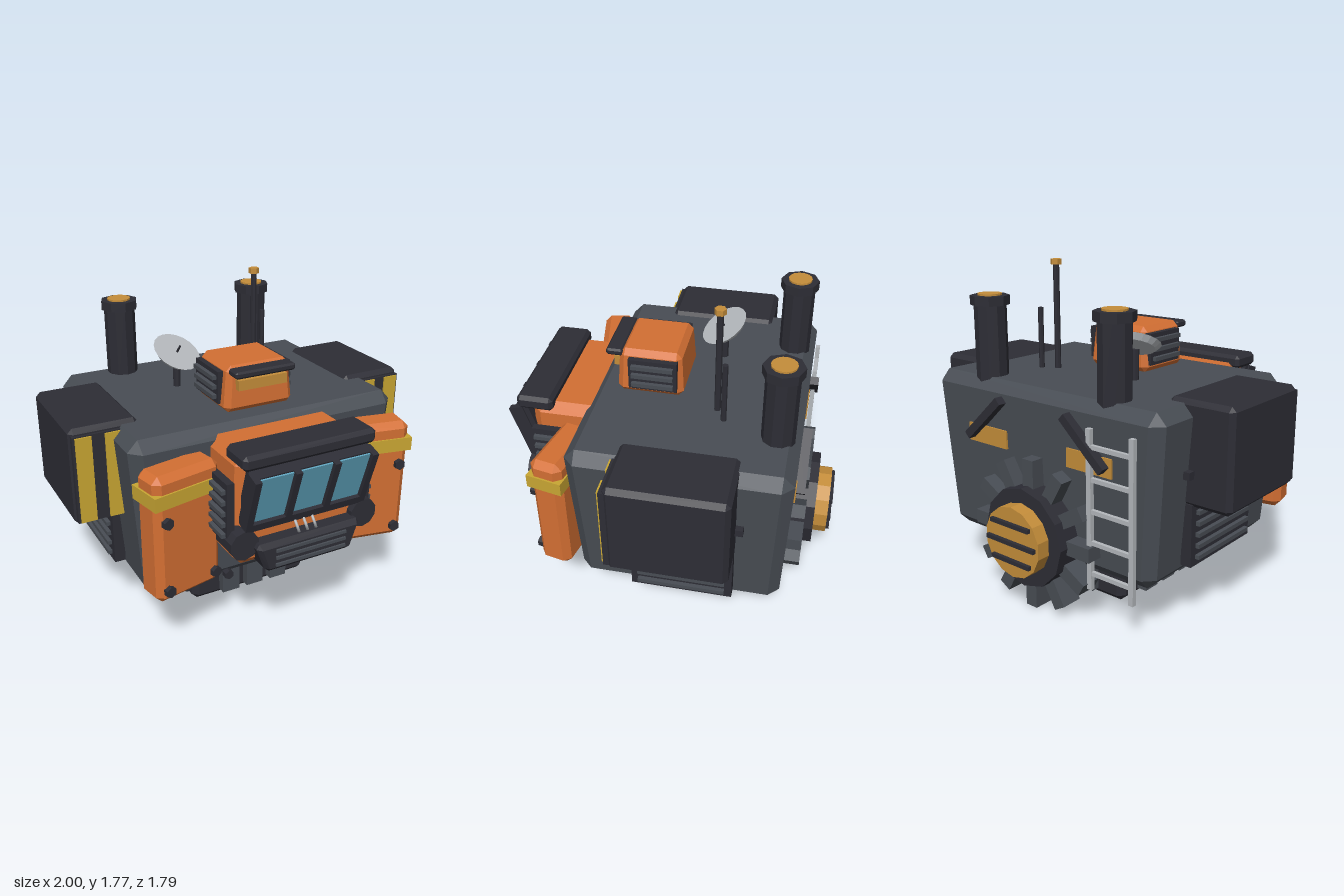
import * as THREE from 'three';
import { ConvexGeometry } from 'three/addons/geometries/ConvexGeometry.js';

function paint(name, color) {
  const m = new THREE.MeshStandardMaterial({ color });
  m.name = name;
  return m;
}

// Box with bevelled edges; the bottom is scaled by bx, bz and the top by tx, tz
function bevelBox(w, h, d, c, { bx = 1, bz = 1, tx = 1, tz = 1 } = {}) {
  const pts = [];
  for (const i of [-1, 1]) for (const j of [-1, 1]) for (const k of [-1, 1]) {
    for (const [a, b, e] of [[0, c, c], [c, 0, c], [c, c, 0]]) {
      const y = j * (h / 2 - b), t = y / h + 0.5;
      pts.push(new THREE.Vector3(
        i * (w / 2 - a) * (bx + (tx - bx) * t), y, k * (d / 2 - e) * (bz + (tz - bz) * t)));
    }
  }
  return new ConvexGeometry(pts);
}

export function createModel() {
  const root = new THREE.Group();
  const grey = paint('hull grey', 0x484d54);
  const dark = paint('dark metal', 0x2d2d35);
  const orange = paint('orange armour', 0xd36f33);
  const yellow = paint('yellow stripe', 0xc9a633);
  const gold = paint('amber', 0xc48d3a);
  const glass = paint('window blue', 0x5fa3bd);
  const steel = paint('light steel', 0xb4b8bc);

  function add(name, geo, mat, x, y, z, parent = root) {
    const m = new THREE.Mesh(geo, mat);
    m.name = name;
    m.position.set(x, y, z);
    parent.add(m);
    return m;
  }
  const box = (name, w, h, d, mat, x, y, z, parent) =>
    add(name, new THREE.BoxGeometry(w, h, d), mat, x, y, z, parent);
  // Faceted upright cylinder
  function cyl(name, r1, r2, h, n, mat, x, y, z, parent) {
    const g = new THREE.CylinderGeometry(r1, r2, h, n).toNonIndexed();
    g.computeVertexNormals();
    return add(name, g, mat, x, y, z, parent);
  }
  // Cylinder lying along z
  function disc(name, r, h, n, mat, x, y, z, parent) {
    const m = cyl(name, r, r, h, n, mat, x, y, z, parent);
    m.rotation.x = Math.PI / 2;
    return m;
  }
  function group(name, x, y, z, parent = root) {
    const g = new THREE.Group();
    g.name = name;
    g.position.set(x, y, z);
    parent.add(g);
    return g;
  }
  // Louvred plate facing sideways
  function vent(name, s, x, y, z, h, d, n, t = 0.04) {
    const g = group(name, s * x, y, z);
    box('ventPlate', t, h, d, dark, 0, 0, 0, g);
    for (let i = 0; i < n; i++) {
      box('ventSlat', 0.025, 0.022, d * 0.86, grey, s * (t / 2 + 0.01), ((i + 0.5) / n - 0.5) * h * 0.9, 0, g);
    }
  }

  // Hull
  add('hull', bevelBox(1.57, 0.91, 1.15, 0.06, { bx: 0.91, bz: 0.945 }), grey, 0, 0.718, -0.115);
  for (let i = -2; i <= 2; i++) disc('hullBolt', 0.027, 0.04, 6, dark, i * 0.25, 0.28, 0.425);

  // Undercarriage with pads on all four sides
  const base = group('undercarriage', 0, 0.132, -0.105);
  add('baseBlock', bevelBox(0.74, 0.245, 0.68, 0.035), dark, 0, 0, 0, base);
  for (let s = 0; s < 4; s++) {
    const side = group('padRow', 0, 0, 0, base);
    side.rotation.y = s * Math.PI / 2;
    const out = s % 2 ? 0.39 : 0.35;
    for (const x of [-0.155, 0, 0.155]) box('pad', 0.105, 0.17, 0.08, grey, x, 0.005, out, side);
  }

  // Rear wheel drive
  const wheel = group('rearWheel', 0, 0.41, 0);
  disc('wheelHub', 0.27, 0.25, 12, dark, 0, 0, -0.675, wheel);
  disc('wheelCap', 0.192, 0.09, 14, gold, 0, 0, -0.83, wheel);
  for (const [y, w] of [[0.1, 0.27], [0, 0.34], [-0.1, 0.27]]) {
    box('capBar', w, 0.022, 0.03, dark, 0, y, -0.88, wheel);
  }
  for (let i = 0; i < 12; i++) {
    const a = i * Math.PI / 6;
    const t = box('wheelTooth', 0.075, 0.17, 0.12, grey, Math.sin(a) * 0.325, Math.cos(a) * 0.325, -0.69, wheel);
    t.rotation.z = -a;
  }

  // Ladder
  const ladder = group('ladder', -0.515, 0.63, -0.705);
  for (const s of [-1, 1]) box('ladderRail', 0.028, 0.84, 0.025, steel, s * 0.132, 0, 0, ladder);
  for (let i = 0; i < 5; i++) box('ladderRung', 0.25, 0.022, 0.02, steel, 0, 0.33 - i * 0.165, 0, ladder);

  for (const s of [-1, 1]) {
    // Rear lamps under slanted hoods
    box('rearLamp', 0.29, 0.1, 0.03, gold, s * 0.36, 0.865, -0.675);
    const hood = box('rearHood', 0.34, 0.045, 0.07, dark, s * 0.35, 0.97, -0.7);
    hood.rotation.z = -s * 0.74;

    // Side pods with striped front plates
    add('sidePod', bevelBox(0.37, 0.535, 0.61, 0.025), dark, s * 0.815, 0.925, -0.115);
    box('podFront', 0.3, 0.48, 0.03, dark, s * 0.84, 0.92, 0.19);
    for (const x of [0.78, 0.935]) box('podStripe', 0.085, 0.47, 0.009, yellow, s * x, 0.92, 0.211);
    box('podLatch', 0.05, 0.04, 0.05, dark, s * 0.77, 0.83, -0.435);
    vent('hullVent', s, 0.755, 0.505, -0.147, 0.33, 0.54, 5, 0.06);

    // Angled armour panels
    const panel = group('armourPanel', s * 0.57, 0.72, 0.525);
    panel.rotation.y = -s * 0.2;
    add('panelBlock', bevelBox(0.39, 0.7, 0.18, 0.035), orange, 0, 0, 0, panel);
    box('panelBand', 0.41, 0.075, 0.198, yellow, 0, 0.225, 0, panel);
    for (const [x, y] of [[0.14, 0.11], [0.14, -0.275], [-0.145, -0.275], [-0.145, 0.11]]) {
      disc('panelBolt', 0.03, 0.03, 6, dark, s * x, y, 0.1, panel);
    }

    // Cab cheeks
    vent('cabVent', s, 0.4, 0.85, 0.65, 0.33, 0.19, 5);
    disc('cabJoint', 0.08, 0.16, 10, dark, s * 0.35, 0.69, 0.72);

    // Exhaust stacks
    const stack = group('exhaustStack', s * 0.43, 0, -0.57);
    cyl('stackPipe', 0.087, 0.087, 0.46, 10, dark, 0, 1.37, 0, stack);
    cyl('stackCollar', 0.105, 0.105, 0.05, 8, dark, 0, 1.575, 0, stack);
    cyl('stackGlow', 0.065, 0.065, 0.02, 14, gold, 0, 1.6, 0, stack);
  }

  // Front cab
  add('cab', bevelBox(0.75, 0.6, 0.38, 0.05, { tx: 0.96 }), orange, 0, 0.835, 0.57);
  add('cabVisor', bevelBox(0.75, 0.08, 0.2, 0.02), dark, 0, 1.14, 0.735);
  const screen = group('windscreen', 0, 0.935, 0.79);
  screen.rotation.x = 0.3;
  box('screenBack', 0.68, 0.32, 0.08, dark, 0, 0, -0.01, screen);
  for (const x of [-0.33, -0.11, 0.11, 0.33]) box('screenPillar', 0.036, 0.32, 0.08, dark, x, 0, 0.02, screen);
  box('screenSill', 0.69, 0.045, 0.08, dark, 0, -0.145, 0.02, screen);
  for (const x of [-0.22, 0, 0.22]) box('windowPane', 0.19, 0.275, 0.009, glass, x, 0.015, 0.034, screen);

  // Nose grille and hoses
  add('noseGrille', bevelBox(0.62, 0.165, 0.2, 0.025, { bx: 0.8 }), dark, 0, 0.61, 0.75);
  for (const y of [0.65, 0.61, 0.57]) box('grilleSlat', 0.41, 0.016, 0.02, grey, 0, y, 0.85);
  for (const x of [-0.05, 0, 0.05]) {
    const path = new THREE.CatmullRomCurve3([
      new THREE.Vector3(x - 0.015, 0.78, 0.77), new THREE.Vector3(x - 0.015, 0.73, 0.82),
      new THREE.Vector3(x + 0.01, 0.68, 0.8)]);
    add('noseHose', new THREE.TubeGeometry(path, 8, 0.008, 6), steel, 0, 0, 0);
  }

  // Roof turret
  add('turret', bevelBox(0.41, 0.25, 0.36, 0.03, { tx: 0.88, tz: 0.92 }), orange, 0, 1.295, 0.14);
  add('turretVisor', bevelBox(0.35, 0.038, 0.09, 0.01), dark, 0, 1.394, 0.335);
  box('turretLamp', 0.285, 0.055, 0.05, gold, 0, 1.327, 0.32);
  for (const s of [-1, 1]) vent('turretVent', s, 0.19, 1.298, 0.122, 0.175, 0.26, 3, 0.05);

  // Dish
  cyl('dishMount', 0.022, 0.022, 0.17, 8, dark, -0.25, 1.25, -0.19);
  const dish = group('dish', -0.25, 1.36, -0.19);
  dish.quaternion.setFromUnitVectors(
    new THREE.Vector3(0, 1, 0), new THREE.Vector3(0.25, 1, 0.58).normalize());
  cyl('dishPlate', 0.138, 0.11, 0.03, 20, steel, 0, 0, 0, dish);
  cyl('dishProbe', 0.006, 0.006, 0.05, 6, dark, 0, 0.035, 0, dish);

  // Aerials
  cyl('tallAerial', 0.017, 0.017, 0.6, 8, dark, 0.263, 1.46, -0.235);
  cyl('aerialTip', 0.03, 0.03, 0.03, 6, gold, 0.263, 1.76, -0.235);
  cyl('shortAerial', 0.015, 0.015, 0.36, 8, dark, 0.345, 1.33, -0.28);

  return root;
}
